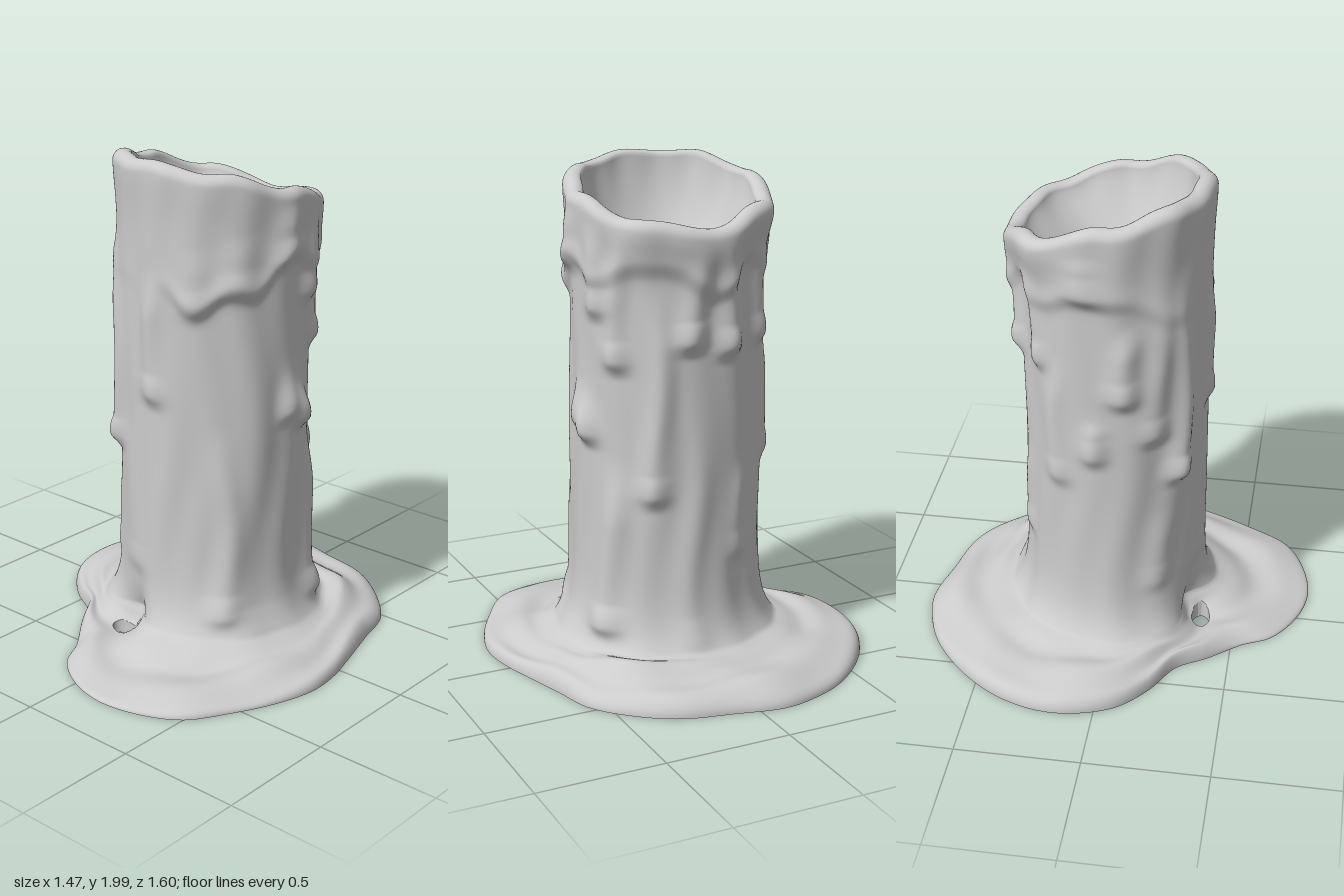
import * as THREE from 'three';

const N = 192, CX = 0.03, CZ = -0.02, RAD = Math.PI / 180, FOOT = 0.125;
const gauss = (d, w) => Math.exp(-(d / w) * (d / w));
const step = THREE.MathUtils.smoothstep, lerp = THREE.MathUtils.lerp;
const wrap = a => Math.atan2(Math.sin(a), Math.cos(a));

// Smooth interpolation of values spread evenly around the axis (0 = front, 90 degrees = +x)
function around(values, a) {
  const n = values.length, f = ((a / (2 * Math.PI)) % 1 + 1) % 1 * n, i = Math.floor(f);
  return lerp(values[i % n], values[(i + 1) % n], step(f - i, 0, 1));
}

// Outline of the wax puddle, as x, z
const outline = new THREE.CatmullRomCurve3([
  [-0.1, -0.8], [0.1, -0.76], [0.3, -0.71], [0.45, -0.61], [0.57, -0.47], [0.62, -0.3], [0.68, -0.1],
  [0.72, 0.05], [0.73, 0.2], [0.68, 0.38], [0.6, 0.54], [0.5, 0.69], [0.35, 0.77], [0.17, 0.8], [0, 0.76],
  [-0.15, 0.66], [-0.21, 0.55], [-0.32, 0.41], [-0.4, 0.29], [-0.55, 0.2], [-0.68, 0.07], [-0.74, -0.15],
  [-0.7, -0.35], [-0.58, -0.54], [-0.4, -0.7], [-0.25, -0.77],
].map(([x, z]) => new THREE.Vector3(x, 0, z)), true).getPoints(3000)
  .map(p => ({ a: Math.atan2(p.x - CX, p.z - CZ), r: Math.hypot(p.x - CX, p.z - CZ) }));
function puddleRadius(a) {
  let best = 9, r = 0;
  for (const p of outline) {
    const d = Math.abs(wrap(p.a - a));
    if (d < best) { best = d; r = p.r; }
  }
  return r;
}

// Height of the rim, lower edge of the overflowed coat and how far it stands out
const rimHeight = a => around([1.99, 1.96, 1.89, 1.82, 1.78, 1.85, 1.93, 1.985], a) + 0.004 * Math.sin(7 * a + 1);
const coatEdge = a => around([1.5, 1.43, 1.48, 1.6, 1.55, 1.62, 1.5, 1.6, 1.57, 1.62, 1.55, 1.5], a);
const coatDepth = a => around([0, 1, 1, 0.9, 0.7, 0.6, 0.8, 0.6, 0.7, 0.7, 0.5, 0.1], a);

// Drips: angle in degrees, top, bottom, half width, thickness
const drips = [
  [2, 1.6, 1.04, 0.055, 0.032], [-38, 1.75, 0.8, 0.055, 0.05], [28, 1.7, 1.4, 0.06, 0.012],
  [57, 1.75, 1.47, 0.07, 0.012], [88, 1.85, 1.58, 0.06, 0.025], [110, 1.8, 1.42, 0.055, 0.035],
  [127, 1.8, 1.22, 0.05, 0.04], [103, 1.08, 0.92, 0.05, 0.05], [88, 1.08, 0.96, 0.04, 0.03],
  [150, 1.6, 0.7, 0.055, 0.035], [122, 0.9, 0.16, 0.07, 0.05], [65, 1.4, 0.1, 0.14, 0.014],
  [48, 1.0, 0.16, 0.06, 0.035], [172, 1.75, 1.3, 0.06, 0.04], [193, 1.75, 1.27, 0.055, 0.045],
  [225, 1.75, 1.29, 0.045, 0.032], [242, 1.4, 0.8, 0.05, 0.025], [208, 0.9, 0.44, 0.05, 0.02],
  [172, 1.3, 0.12, 0.06, 0.015], [262, 1.85, 1.62, 0.07, 0.03], [285, 1.55, 1.18, 0.06, 0.035],
  [268, 1.15, 0.92, 0.05, 0.03], [305, 1.75, 1.0, 0.06, 0.03], [305, 0.7, 0.3, 0.06, 0.012],
  [-20, 1.0, 0.3, 0.07, 0.012],
];

// Outer radius of the candle at angle a and height y
function columnRadius(a, y) {
  let r = 0.364 + 0.012 * Math.sin(a) ** 2 + 0.004 * Math.sin(3 * a + y) + 0.003 * Math.sin(8 * a + Math.sin(4 * y))
    + 0.003 * Math.sin(13 * a + 1.5 * Math.sin(5 * y));
  const toGap = wrap(a + 21 * RAD);
  r += (0.075 - 0.07 * gauss(toGap, 0.4) - 0.05 * gauss(toGap, 0.22)) * Math.exp((FOOT - y) / 0.09);
  const edge = coatEdge(a) + 0.02 * Math.sin(9 * a);
  r += coatDepth(a) * (0.016 * step(y, edge - 0.02, edge + 0.06) + 0.01 * gauss(y - edge - 0.05, 0.05));
  const top = rimHeight(a);
  r += (0.008 + 0.042 * step(-Math.cos(a), 0, 1)) * gauss(y - top + 0.04, 0.12);
  let bump = 0;
  for (const [deg, yt, yb, w, t] of drips) {
    const d = wrap(a - deg * RAD - 0.05 * Math.sin(7 * y + deg)) * 0.37;
    const bulb = gauss(y - yb - 0.07, 0.1);
    const along = step(y, yb - 0.025, yb + 0.045) * (1 - step(y, lerp(yb, yt, 0.6), yt));
    bump += t * gauss(d, w * (0.85 + 0.15 * bulb)) * Math.max(bulb * step(y, yb - 0.03, yb + 0.05), 0.7 * along);
  }
  return r + Math.min(bump, 0.07);
}

// Top of the puddle: s = 0 at the candle, 1 at the rim of the puddle
function puddleHeight(a, s) {
  const wave = 0.007 * Math.sin(5 * a + 6 * s) + 0.006 * Math.sin(9 * a - 4 * s) + 0.007 * Math.sin(2 * a + 11 * s);
  const front = 0.015 * gauss(wrap(a - 0.1), 0.8);
  const edge = around([0.055, 0.06, 0.065, 0.07, 0.08, 0.08, 0.085, 0.07], a);
  const h = lerp(edge, FOOT, Math.pow(1 - s, 3)) + step(s, 0, 0.4) * (wave - front)
    + 0.035 * gauss(wrap(a - 140 * RAD), 0.6) * gauss(s - 0.35, 0.3) * step(s, 0, 0.2);
  const thin = 1 - 0.5 * gauss(wrap(a + 21 * RAD), 0.2) * step(s, 0, 0.14) * (1 - step(s, 0.3, 0.7));
  return h * thin * Math.sqrt(Math.max(0, 1 - Math.pow(s, 6)));
}

// Indexed surface from closed rings of [x, y, z]; skip(i, k) leaves cells out
function loft(rings, skip, flip = false) {
  const index = [];
  for (let k = 0; k < rings.length - 1; k++) for (let i = 0; i < N; i++) {
    if (skip(i, k)) continue;
    const j = (i + 1) % N, a = k * N + i, b = k * N + j, c = b + N, d = a + N;
    index.push(...(flip ? [a, c, b, a, d, c] : [a, b, c, a, c, d]));
  }
  const g = new THREE.BufferGeometry();
  g.setAttribute('position', new THREE.Float32BufferAttribute(rings.flat(2), 3));
  g.setIndex(index);
  g.computeVertexNormals();
  return g;
}

export function createModel() {
  const group = new THREE.Group();
  const wax = new THREE.MeshStandardMaterial({ color: 0xcccccc });
  const add = (name, geometry, material = wax) => {
    const m = new THREE.Mesh(geometry, material);
    m.name = name;
    group.add(m);
  };
  const angles = Array.from({ length: N }, (_, i) => i / N * 2 * Math.PI);
  const outer = angles.map(puddleRadius);
  const ring = fn => angles.map((a, i) => {
    const [r, y] = fn(a, i);
    return [CX + r * Math.sin(a), y, CZ + r * Math.cos(a)];
  });

  // Puddle rings, from its edge in to the candle
  const M = 44, rings = [];
  for (let k = 0; k <= M; k++) {
    const s = 1 - Math.pow(k / M, 1.5);
    rings.push(ring((a, i) => [lerp(columnRadius(a, FOOT), outer[i], s), puddleHeight(a, s)]));
  }

  // Small gap through the puddle beside the candle, its border snapped to an ellipse
  const HX = -0.11, HZ = 0.36, HA = 0.065, HB = 0.038;
  const size = p => Math.hypot((p[0] - HX) / HA, (p[2] - HZ) / HB);
  const open = [];
  for (let k = 0; k < M; k++) open.push(angles.map((_, i) => {
    const j = (i + 1) % N;
    return [rings[k][i], rings[k][j], rings[k + 1][i], rings[k + 1][j]].every(p => size(p) < 1.15);
  }));
  const isOpen = (i, k) => k >= 0 && k < M && open[k][(i + N) % N];
  const border = [];
  for (let k = 0; k < M; k++) for (let i = 0; i < N; i++) {
    if (!isOpen(i, k)) continue;
    const j = (i + 1) % N;
    if (!isOpen(i, k - 1)) border.push([rings[k][i], rings[k][j]]);
    if (!isOpen(i, k + 1)) border.push([rings[k + 1][j], rings[k + 1][i]]);
    if (!isOpen(i - 1, k)) border.push([rings[k + 1][i], rings[k][i]]);
    if (!isOpen(i + 1, k)) border.push([rings[k][j], rings[k + 1][j]]);
  }
  for (const p of new Set(border.flat())) {
    const e = size(p);
    p[0] = HX + (p[0] - HX) / e;
    p[2] = HZ + (p[2] - HZ) / e;
  }
  const wall = new THREE.BufferGeometry();
  wall.setAttribute('position', new THREE.Float32BufferAttribute(border.flatMap(([p, q]) => {
    const p0 = [p[0], 0, p[2]], q0 = [q[0], 0, q[2]];
    return [p, q, q0, p, q0, p0].flat();
  }), 3));
  wall.computeVertexNormals();
  add('puddleGapWall', wall, new THREE.MeshStandardMaterial({ color: 0xcccccc, side: THREE.DoubleSide }));

  // Flat underside
  const under = rings.map(r => r.map(p => [p[0], 0, p[2]]));
  under.push(ring(() => [0, 0]));
  add('underside', loft(under, isOpen, true));

  // Candle column with drips
  const ROWS = 150, LIP = 0.042;
  const topRadius = angles.map(a => columnRadius(a, rimHeight(a) - LIP));
  for (let k = 1; k <= ROWS; k++) rings.push(ring(a => {
    const y = lerp(FOOT, rimHeight(a) - LIP, k / ROWS);
    return [columnRadius(a, y), y];
  }));
  // Rounded lip
  for (let k = 1; k <= 10; k++) {
    const t = k / 10 * Math.PI * 0.75;
    rings.push(ring((a, i) => [topRadius[i] - LIP + LIP * Math.cos(t), rimHeight(a) - LIP + LIP * Math.sin(t)]));
  }
  // Melted hollow inside, sloping in from the lip to a rounded floor
  const lipIn = LIP * (1 - Math.cos(0.75 * Math.PI)), lipDown = LIP * (1 - Math.sin(0.75 * Math.PI));
  for (let k = 1; k <= 28; k++) {
    const t = k / 28 * Math.PI / 2;
    rings.push(ring((a, i) => [
      lerp(topRadius[i] - lipIn, 0.31, step(k, 0, 12)) * Math.cos(t),
      lerp(rimHeight(a) - lipDown, 1.52, Math.pow(Math.sin(t), 1.25)),
    ]));
  }
  add('meltedCandle', loft(rings, isOpen));
  return group;
}
